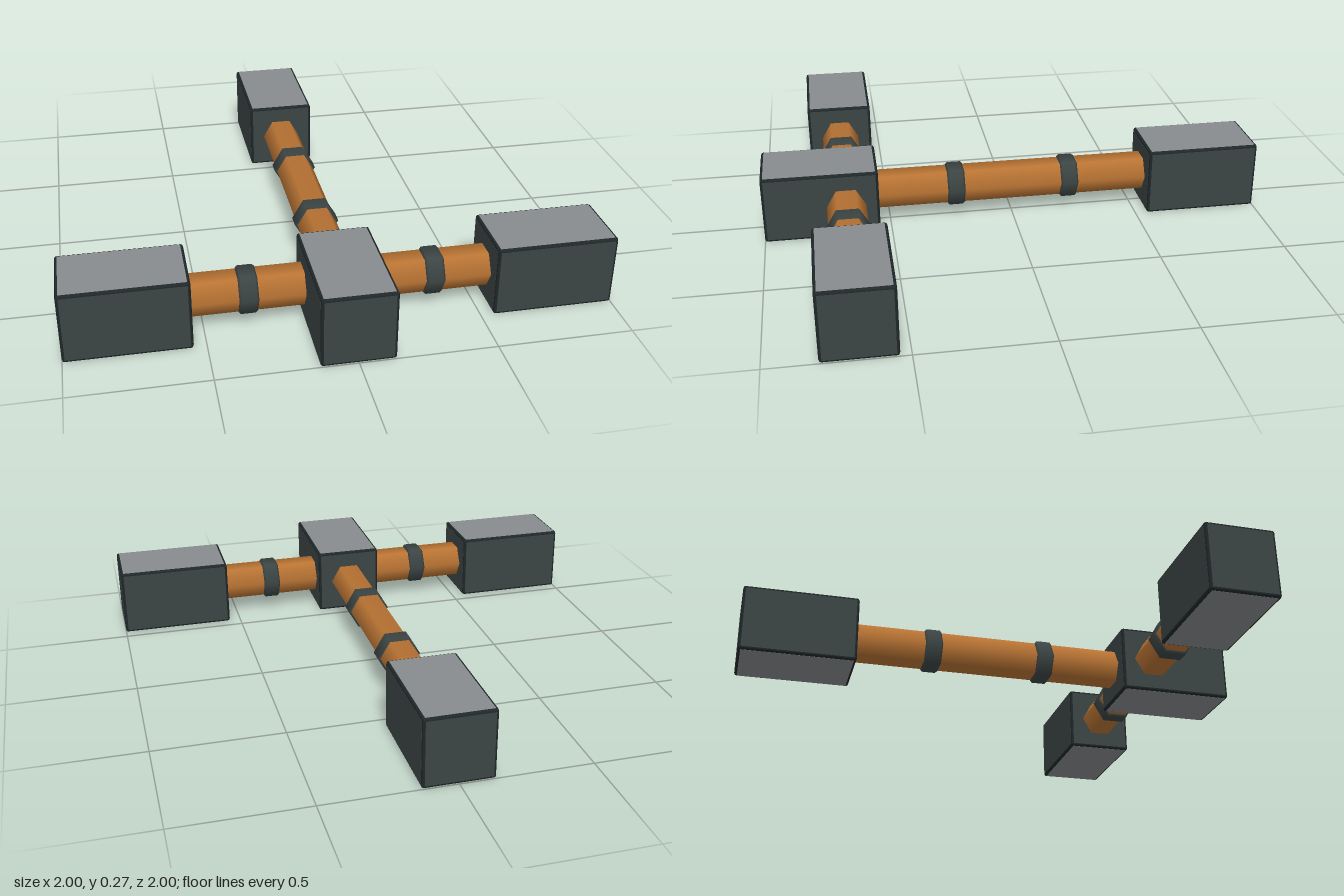
import * as THREE from 'three';
import { RoundedBoxGeometry } from 'three/addons/geometries/RoundedBoxGeometry.js';

const material = (name, color) => {
  const m = new THREE.MeshStandardMaterial({ color });
  m.name = name;
  return m;
};

export function createModel() {
  const copper = material('copper', 0xb87333);
  const dark = material('dark slate', 0x3c4444);
  const edge = material('dark edge', 0x20282a);
  const grey = material('grey', 0x888c8e);

  const L = 0.453, S = 0.27, Y = S / 2, CROSS_Z = 0.675;
  const model = new THREE.Group();
  model.name = 'pipeJunction';

  const add = (parent, name, geometry, mat) => {
    const mesh = new THREE.Mesh(geometry, mat);
    mesh.name = name;
    parent.add(mesh);
    return mesh;
  };

  // Block: bevelled dark-edged core with inset face panels, long axis on x
  const coreGeometry = new RoundedBoxGeometry(L, S, S, 1, 0.009);
  const panel = 0.02; // total inset of each panel
  const skin = 0.001;
  const sidePanels = new THREE.BoxGeometry(L - panel, S - panel, S + skin);
  const endPanels = new THREE.BoxGeometry(L + skin, S - panel, S - panel);
  const capPanels = new THREE.BoxGeometry(L - panel, S + skin, S - panel);
  const addBlock = (name, x, z, alongZ) => {
    const block = new THREE.Group();
    block.name = name;
    add(block, 'blockEdges', coreGeometry, edge);
    add(block, 'sidePanels', sidePanels, dark);
    add(block, 'endPanels', endPanels, dark);
    add(block, 'topAndBottomPanels', capPanels, grey);
    block.position.set(x, Y, z);
    if (alongZ) block.rotation.y = Math.PI / 2;
    model.add(block);
  };

  // Collar: six-sided band with bevelled rims
  const collarProfile = [[0.066, -0.035], [0.079, -0.035], [0.087, -0.027],
    [0.087, 0.027], [0.079, 0.035], [0.066, 0.035]].map(([r, y]) => new THREE.Vector2(r, y));
  const collarGeometry = new THREE.LatheGeometry(collarProfile, 6);

  // Six-sided rod along x with collars at the given offsets
  const addRod = (name, length, collars, x, z, alongZ) => {
    const rod = new THREE.Group();
    rod.name = name;
    const shaft = add(rod, 'shaft', new THREE.CylinderGeometry(0.077, 0.077, length, 6), copper);
    shaft.rotation.z = Math.PI / 2;
    for (const offset of collars) {
      const collar = add(rod, 'collar', collarGeometry, dark);
      collar.rotation.z = Math.PI / 2;
      collar.position.x = offset;
    }
    rod.position.set(x, Y, z);
    if (alongZ) rod.rotation.y = Math.PI / 2;
    model.add(rod);
  };

  const end = 1 - L / 2;
  addBlock('centreBlock', 0, end, true);
  addBlock('backBlock', 0, -end, true);
  addRod('longRod', 1.12, [-0.232, 0.232], 0, 0, true);

  // Mirrored side arms
  for (const side of [-1, 1]) {
    const label = side > 0 ? 'left' : 'right';
    addBlock(label + 'Block', side * end, CROSS_Z, false);
    addRod(label + 'Rod', 0.44, [0], side * 0.34, CROSS_Z, false);
  }
  return model;
}
